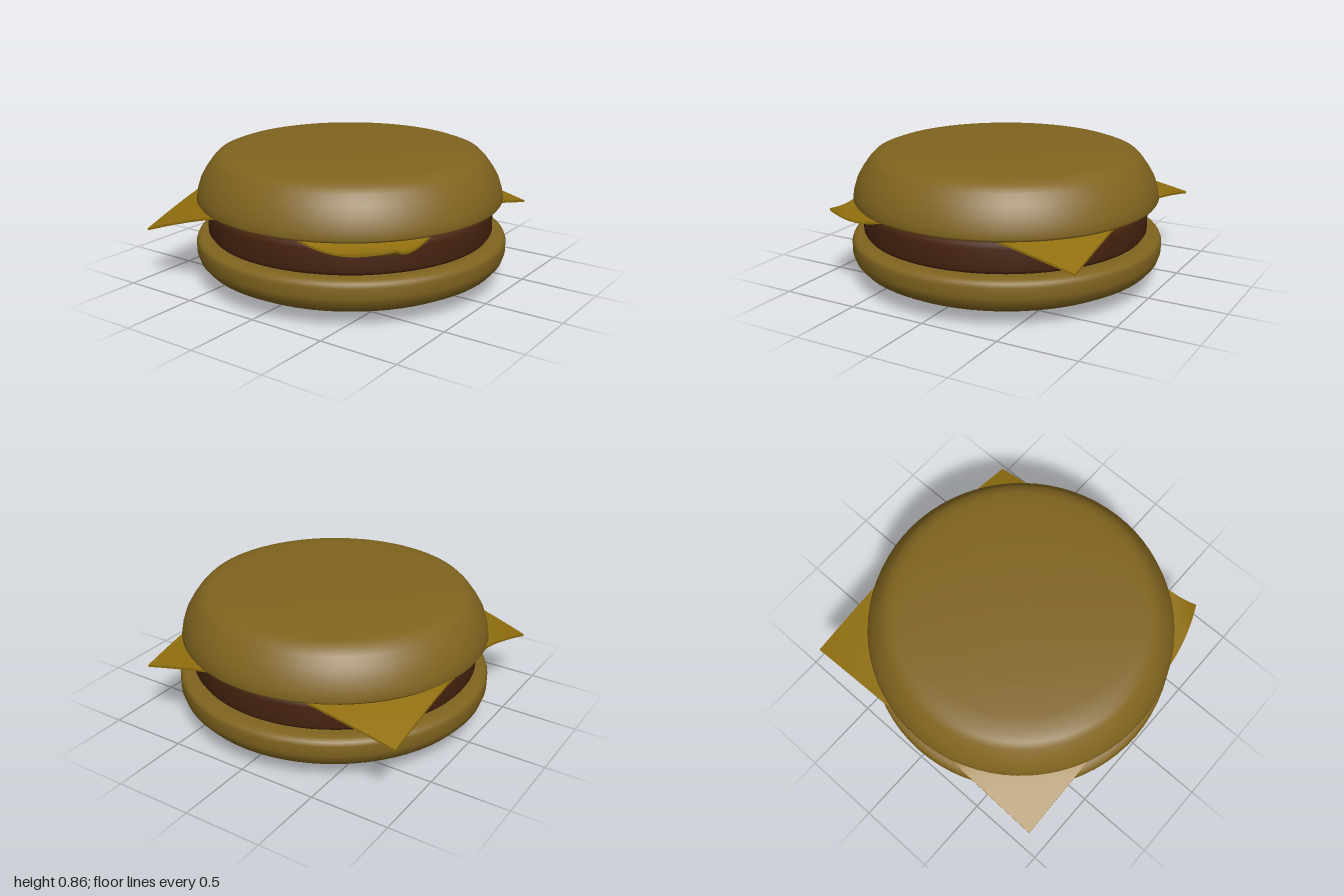
import * as THREE from 'three';

// Smooth turned body from [radius, height] pairs, bottom to top
function turned(name, color, profile, x = 0, z = 0) {
  const geo = new THREE.LatheGeometry(profile.map(([r, y]) => new THREE.Vector2(r, y)), 72);
  const mesh = new THREE.Mesh(geo, new THREE.MeshStandardMaterial({ color }));
  mesh.name = name;
  mesh.position.set(x, 0, z);
  return mesh;
}

// Thin square sheet whose corners sag past the patty; the front left one curls back up
function cheeseSlice() {
  const geo = new THREE.BoxGeometry(2, 0.014, 2, 40, 1, 40);
  const p = geo.attributes.position;
  for (let i = 0; i < p.count; i++) {
    const u = p.getX(i), v = p.getZ(i);
    const d = Math.max(0, (Math.abs(u) + Math.abs(v) - 1.3) / 0.7);
    let x = -0.067 + 0.888 * u + 0.01 * v, z = 0.01 + 0.89 * v;
    let y = 0.53 + p.getY(i);
    if (u > 0 && v > 0) {
      y -= 0.055 * Math.sin(Math.PI * d);
      x += 0.01 * d ** 2.5;
      z -= 0.13 * d ** 2.5;
    } else {
      const sag = u > 0 ? 0.13 : v > 0 ? 0.185 : 0.11;
      y -= sag * d ** 1.2;
    }
    p.setXYZ(i, x, y, z);
  }
  geo.computeVertexNormals();
  const mesh = new THREE.Mesh(geo, new THREE.MeshStandardMaterial({ color: 0x92700f }));
  mesh.name = 'cheeseSlice';
  return mesh;
}

export function createModel() {
  const group = new THREE.Group();
  group.name = 'cheeseburger';
  const bun = 0x80641f;

  group.add(turned('bottomBun', bun, [
    [0, 0], [0.3, 0.007], [0.55, 0.02], [0.75, 0.043], [0.88, 0.078], [0.95, 0.115],
    [0.985, 0.155], [1, 0.2], [1, 0.265], [0.99, 0.288], [0.965, 0.302], [0.92, 0.306], [0, 0.306],
  ]));

  group.add(turned('patty', 0x46230f, [
    [0, 0.3], [0.87, 0.3], [0.9, 0.312], [0.915, 0.335], [0.915, 0.465],
    [0.9, 0.488], [0.86, 0.505], [0, 0.505],
  ], 0, 0.01));

  group.add(cheeseSlice());

  group.add(turned('topBun', bun, [
    [0, 0.502], [0.82, 0.502], [0.92, 0.512], [0.97, 0.525], [0.98, 0.54], [0.972, 0.59],
    [0.95, 0.66], [0.915, 0.72], [0.875, 0.775], [0.84, 0.81], [0.79, 0.829], [0.7, 0.84],
    [0.5, 0.852], [0.25, 0.86], [0, 0.862],
  ], -0.005, 0.008));

  return group;
}
